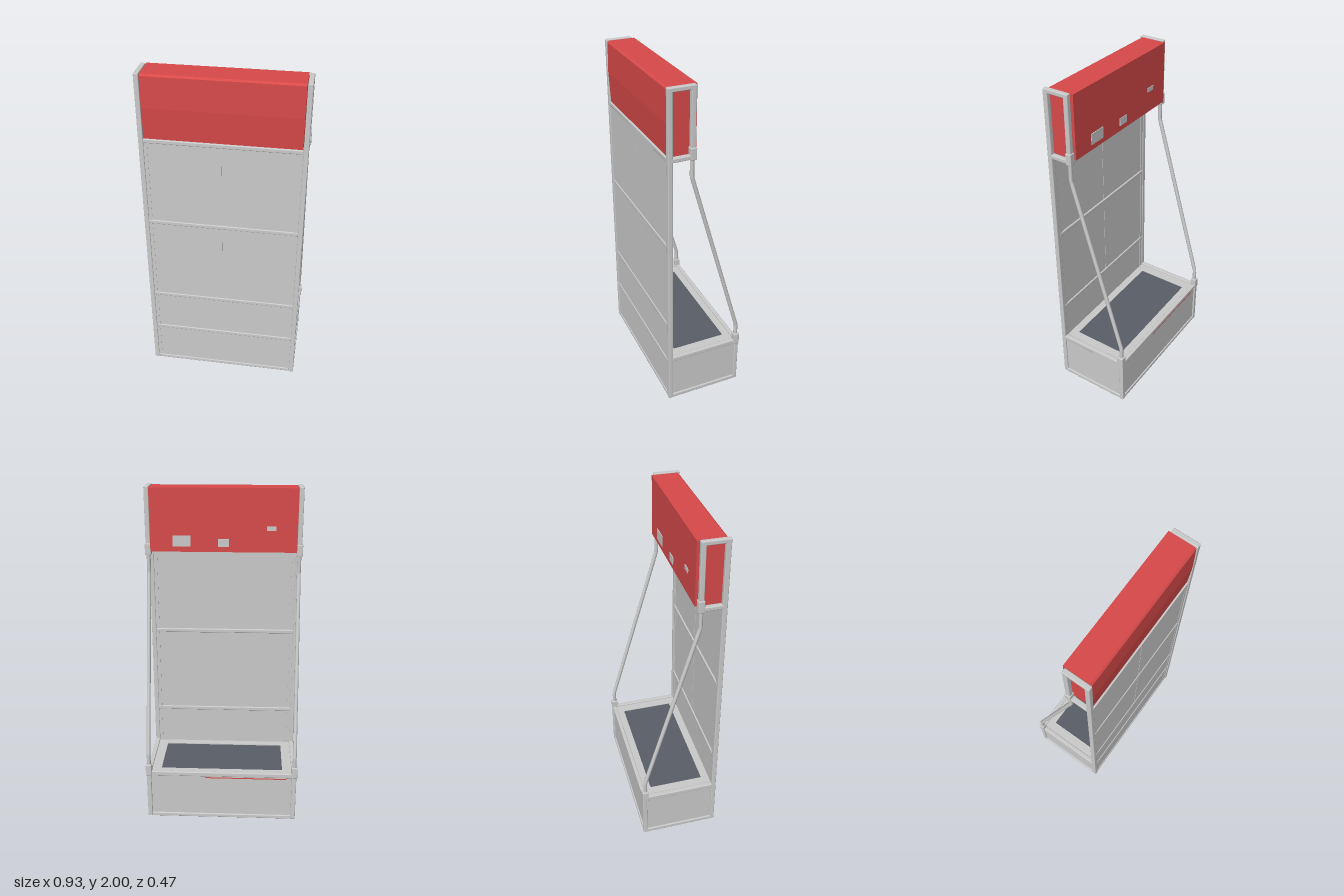
import * as THREE from 'three';
import { RoundedBoxGeometry } from 'three/addons/geometries/RoundedBoxGeometry.js';

const grey = new THREE.MeshStandardMaterial({ color: 0xcccccc });
const red = new THREE.MeshStandardMaterial({ color: 0xd94a4a });
const slate = new THREE.MeshStandardMaterial({ color: 0x5a6068 });

export function createModel() {
  const model = new THREE.Group();

  const add = (name, geometry, material = grey) => {
    const mesh = new THREE.Mesh(geometry, material);
    mesh.name = name;
    model.add(mesh);
    return mesh;
  };
  // Boxes are given by their limits: [min, max] on each axis
  const size = (r) => r[1] - r[0];
  const mid = (r) => (r[0] + r[1]) / 2;
  const box = (name, x, y, z, material) => {
    add(name, new THREE.BoxGeometry(size(x), size(y), size(z)), material).position.set(mid(x), mid(y), mid(z));
  };
  const bar = (name, x, y, z) => {
    add(name, new RoundedBoxGeometry(size(x), size(y), size(z), 2, 0.005)).position.set(mid(x), mid(y), mid(z));
  };

  // Side frames, mirrored
  for (const s of [-1, 1]) {
    const side = (a, b) => (s > 0 ? [a, b] : [-b, -a]);
    const tube = side(0.433, 0.461);
    bar('frontPost', tube, [0, 2], [0.208, 0.236]);
    bar('canopyRearPost', tube, [1.61, 2], [0.08, 0.108]);
    bar('canopyTopArm', tube, [1.976, 2], [0.1, 0.215]);
    bar('canopyBottomArm', tube, [1.604, 1.628], [0.1, 0.215]);
    bar('planterRearPost', tube, [0, 0.31], [-0.232, -0.206]);
    bar('planterTopRail', tube, [0.29, 0.318], [-0.21, 0.215]);
    bar('planterBottomRail', tube, [0, 0.026], [-0.21, 0.215]);
    box('planterSidePanel', side(0.44, 0.452), [0.02, 0.295], [-0.21, 0.212]);
    bar('upperConnector', side(0.429, 0.466), [1.6, 1.67], [0.076, 0.112]);
    bar('lowerConnector', side(0.429, 0.466), [0.29, 0.362], [-0.234, -0.197]);

    // Bent stay linking canopy to planter
    const points = [[1.62, 0.096], [1.5, 0.096], [0.43, -0.214], [0.3, -0.214]]
      .map(([y, z]) => new THREE.Vector3(s * 0.447, y, z));
    const path = new THREE.CurvePath();
    for (let i = 0; i < 3; i++) path.add(new THREE.LineCurve3(points[i], points[i + 1]));
    add('stayRod', new THREE.TubeGeometry(path, 60, 0.012, 10));
  }

  // Cross rails of the front wall
  const inner = [-0.435, 0.435];
  for (const y of [0.013, 0.28, 0.55, 1.09, 1.615]) {
    bar('wallRail', inner, [y - 0.012, y + 0.012], [0.208, 0.234]);
  }

  // Front wall panels: full width below, pairs above
  for (const y of [[0.022, 0.272], [0.288, 0.541]]) {
    box('lowerWallPanel', [-0.415, 0.415], y, [0.216, 0.229]);
  }
  for (const y of [[0.559, 1.077], [1.103, 1.605]]) {
    box('upperWallPanel', [-0.415, -0.003], y, [0.216, 0.229]);
    box('upperWallPanel', [0.003, 0.415], y, [0.216, 0.229]);
    box('panelJoint', [-0.004, 0.004], y, [0.218, 0.227]);
  }
  for (const s of [-1, 1]) {
    box('wallEdgeStrip', s > 0 ? [0.413, 0.434] : [-0.434, -0.413], [0.01, 1.61], [0.212, 0.231]);
  }

  // Planter: floor, rear wall and rails
  box('planterFloor', [-0.445, 0.445], [0.004, 0.016], [-0.225, 0.22]);
  box('planterRearPanel', inner, [0.02, 0.295], [-0.222, -0.21]);
  bar('planterRearTopRail', inner, [0.29, 0.318], [-0.23, -0.206]);
  bar('planterRearBottomRail', inner, [0, 0.024], [-0.23, -0.206]);
  box('planterTrim', [-0.4, 0.1], [0.276, 0.282], [-0.224, -0.22], red);

  // Planter rim with a rectangular opening, and the dark bed inside it
  const rectangle = (Type, x0, x1, z0, z1) => new Type().moveTo(x0, -z0).lineTo(x1, -z0)
    .lineTo(x1, -z1).lineTo(x0, -z1).closePath();
  const rim = rectangle(THREE.Shape, -0.436, 0.436, -0.212, 0.212);
  rim.holes.push(rectangle(THREE.Path, -0.375, 0.375, -0.163, 0.165));
  const rimMesh = add('planterRim', new THREE.ExtrudeGeometry(rim, { depth: 0.03, bevelEnabled: false }));
  rimMesh.rotation.x = -Math.PI / 2;
  rimMesh.position.y = 0.279;
  box('planterBed', [-0.38, 0.38], [0.282, 0.301], [-0.168, 0.17], slate);

  // Red canopy: side profile with a slight crease across its front
  const profile = new THREE.Shape([[0.066, 1.626], [0.224, 1.626], [0.234, 1.81], [0.23, 1.985], [0.22, 1.995], [0.066, 1.995]]
    .map(([z, y]) => new THREE.Vector2(-z, y)));
  const canopy = add('canopy', new THREE.ExtrudeGeometry(profile, { depth: 0.862, bevelEnabled: false }), red);
  canopy.rotation.y = Math.PI / 2;
  canopy.position.x = -0.431;

  // Small plates on the back of the canopy
  for (const [x, y, w, h] of [[0.245, 1.69, 0.105, 0.065], [0, 1.68, 0.065, 0.045], [-0.28, 1.765, 0.055, 0.025]]) {
    box('rearPlate', [x - w / 2, x + w / 2], [y - h / 2, y + h / 2], [0.062, 0.07]);
  }

  return model;
}
